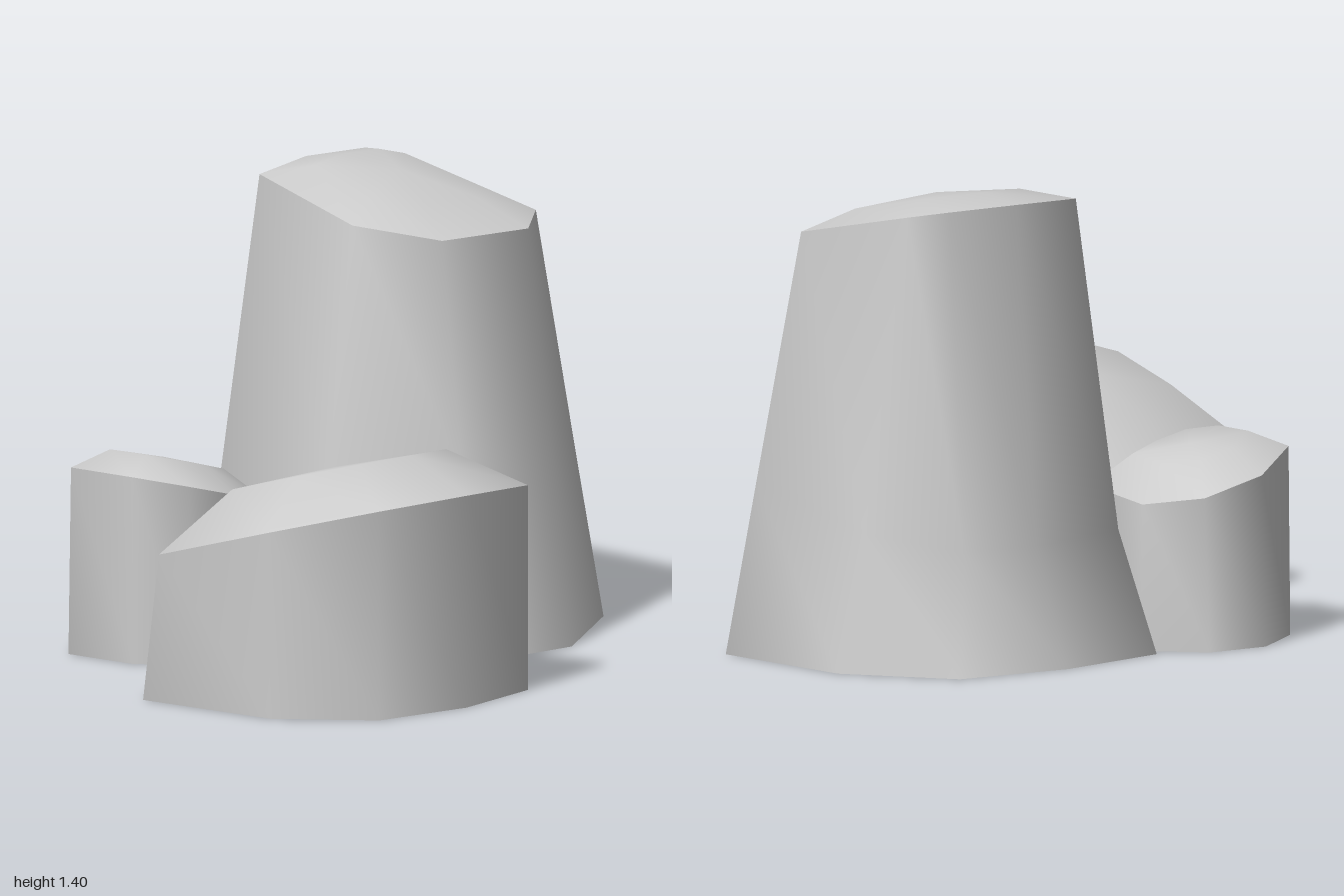
import * as THREE from 'three';

// Skin a stack of equal-length rings; an optional centre point closes the last ring.
function loft(rings, centre) {
  const n = rings[0].length;
  const pos = rings.flat(2);
  const index = [];
  for (let r = 0; r < rings.length - 1; r++) {
    for (let i = 0; i < n; i++) {
      const j = (i + 1) % n;
      const a = r * n + i, b = r * n + j;
      index.push(a, a + n, b + n, a, b + n, b);
    }
  }
  if (centre) {
    const c = rings.length * n, start = c - n;
    pos.push(...centre);
    for (let i = 0; i < n; i++) index.push(start + i, c, start + (i + 1) % n);
  }
  const g = new THREE.BufferGeometry();
  g.setAttribute('position', new THREE.Float32BufferAttribute(pos, 3));
  g.setIndex(index);
  g.computeVertexNormals();
  return g;
}

// Boulder from [x, z] outlines; each height(x, z) is a sloping plane.
function boulder(name, material, { base, mid, midHeight, rim, rimHeight, inset, lift, peak }) {
  const lay = (ring, h) => ring.map(([x, z]) => [x, h(x, z), z]);
  const cx = rim.reduce((s, p) => s + p[0], 0) / rim.length;
  const cz = rim.reduce((s, p) => s + p[1], 0) / rim.length;
  const inner = rim.map(([x, z]) => [cx + (x - cx) * inset, cz + (z - cz) * inset]);

  const rimRing = lay(rim, rimHeight);
  const sideRings = [lay(base, () => 0)];
  if (mid) sideRings.push(lay(mid, midHeight));
  sideRings.push(rimRing);

  const group = new THREE.Group();
  group.name = name;
  const sides = new THREE.Mesh(loft(sideRings), material);
  sides.name = name + 'Sides';
  // Sloping, slightly domed cap with a crisp rim
  const cap = new THREE.Mesh(
    loft([rimRing, lay(inner, (x, z) => rimHeight(x, z) + lift)], [cx, rimHeight(cx, cz) + peak, cz]),
    material
  );
  cap.name = name + 'Cap';
  group.add(sides, cap);
  return group;
}

export function createModel() {
  const stone = new THREE.MeshStandardMaterial({ color: 0xcccccc, side: THREE.DoubleSide });
  stone.name = 'stoneGrey';

  const model = new THREE.Group();
  model.name = 'rockCluster';

  // Tall tapering rock with a flared foot
  model.add(boulder('tallRock', stone, {
    base: [[-0.02, -0.75], [0.37, -0.83], [0.75, -0.8], [0.97, -0.49], [1, 0.02], [0.55, 0.315], [0.14, 0.31], [-0.14, -0.12]],
    mid: [[0.07, -0.68], [0.42, -0.74], [0.68, -0.73], [0.88, -0.5], [0.91, -0.01], [0.57, 0.22], [0.19, 0.21], [-0.04, -0.13]],
    midHeight: (x, z) => 0.51 + 0.2 * z,
    rim: [[0.16, -0.59], [0.43, -0.655], [0.67, -0.64], [0.75, -0.54], [0.75, -0.02], [0.595, 0.095], [0.245, 0.075], [0.08, -0.135]],
    rimHeight: (x, z) => 1.245 - 0.2 * z,
    inset: 0.6, lift: 0.05, peak: 0.07,
  }));

  // Broad rock sloping down to the back
  model.add(boulder('broadRock', stone, {
    base: [[-1, 0.03], [-0.6, -0.235], [-0.22, -0.235], [0.03, 0.12], [-0.09, 0.74], [-0.44, 0.82], [-0.78, 0.785], [-0.98, 0.53]],
    rim: [[-0.99, 0.085], [-0.6, -0.18], [-0.2, -0.16], [0.02, 0.12], [-0.09, 0.74], [-0.44, 0.828], [-0.79, 0.79], [-0.99, 0.53]],
    rimHeight: (x, z) => 0.42 + 0.265 * z,
    inset: 0.58, lift: 0.155, peak: 0.165,
  }));

  // Small rock tucked behind
  model.add(boulder('smallRock', stone, {
    base: [[-0.57, -0.68], [-0.37, -0.825], [-0.165, -0.82], [-0.02, -0.67], [-0.09, -0.315], [-0.285, -0.265], [-0.465, -0.285], [-0.565, -0.42]],
    rim: [[-0.575, -0.665], [-0.365, -0.81], [-0.16, -0.8], [-0.05, -0.64], [-0.105, -0.31], [-0.285, -0.27], [-0.465, -0.285], [-0.57, -0.42]],
    rimHeight: (x) => 0.42 - 0.25 * x,
    inset: 0.58, lift: 0.075, peak: 0.08,
  }));

  return model;
}
